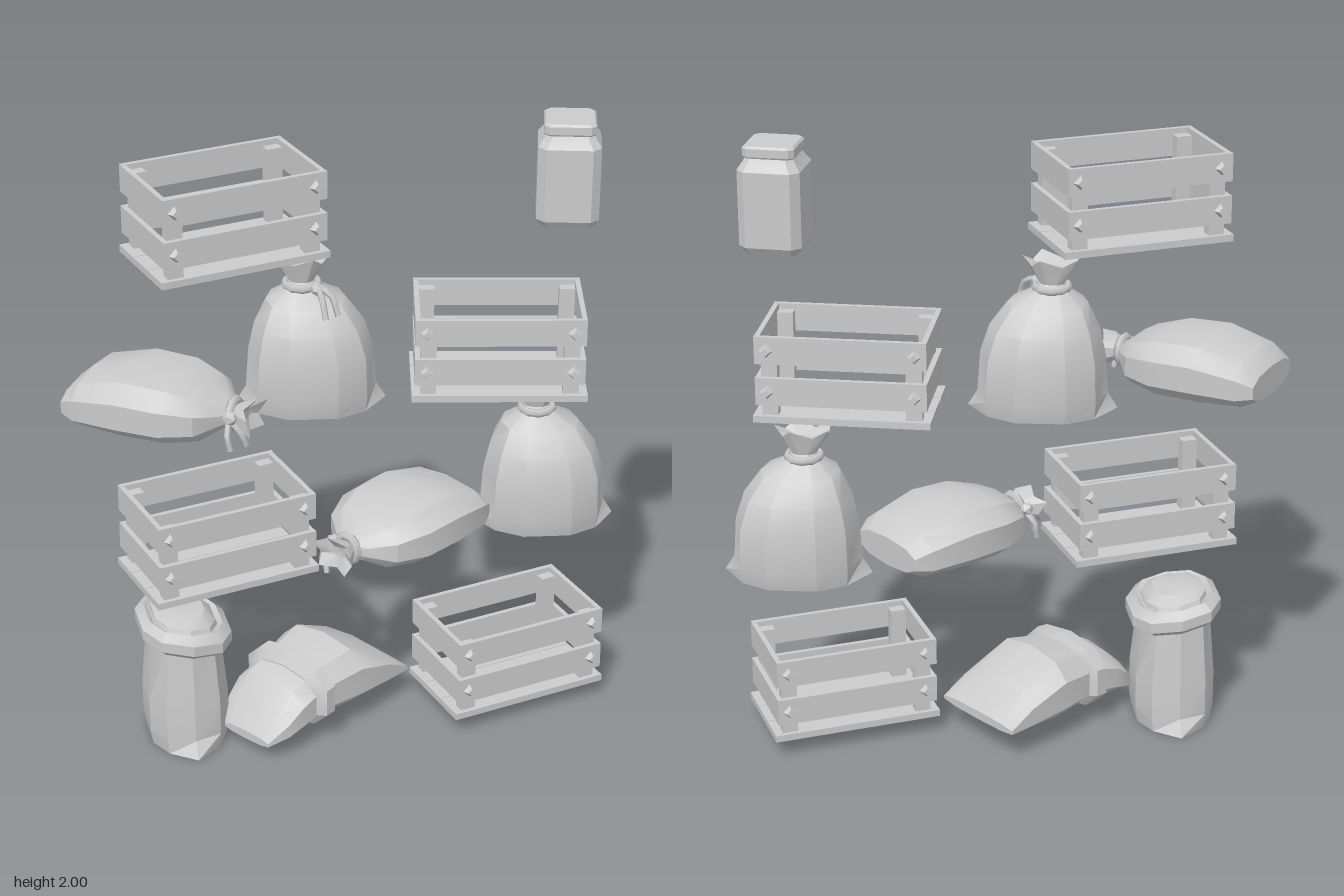
import * as THREE from 'three';
import { toCreasedNormals } from 'three/addons/utils/BufferGeometryUtils.js';

const material = new THREE.MeshStandardMaterial({ color: 0xcccccc, side: THREE.DoubleSide });
const SIDES = 10;

function add(parent, name, geometry, x = 0, y = 0, z = 0) {
  const mesh = new THREE.Mesh(geometry, material);
  mesh.name = name;
  mesh.position.set(x, y, z);
  parent.add(mesh);
  return mesh;
}

function place(root, part, name, x, y, z, turn) {
  part.name = name;
  part.position.set(x, y, z);
  part.rotation.y = turn;
  root.add(part);
}

// Closed skin over a list of equal-length rings of [x, y, z] points
function loft(rings, crease = 0.5) {
  const n = rings[0].length, pos = rings.flat(2), index = [];
  for (let j = 0; j < rings.length - 1; j++) {
    for (let i = 0; i < n; i++) {
      const a = j * n + i, b = j * n + (i + 1) % n;
      index.push(a, b, b + n, a, b + n, a + n);
    }
  }
  for (const last of [false, true]) {
    const ring = last ? rings[rings.length - 1] : rings[0];
    const start = last ? (rings.length - 1) * n : 0, c = pos.length / 3;
    for (let k = 0; k < 3; k++) pos.push(ring.reduce((s, p) => s + p[k], 0) / n);
    for (let i = 0; i < n; i++) {
      const a = start + i, b = start + (i + 1) % n;
      if (last) index.push(c, a, b); else index.push(c, b, a);
    }
  }
  const g = new THREE.BufferGeometry();
  g.setAttribute('position', new THREE.Float32BufferAttribute(pos, 3));
  g.setIndex(index);
  return toCreasedNormals(g, crease);
}

// Slightly squared unit outline
const bulge = (v) => Math.sign(v) * Math.pow(Math.abs(v), 0.8);
function outline(fn) {
  return Array.from({ length: SIDES }, (_, i) => {
    const a = (i / SIDES) * Math.PI * 2;
    return fn(bulge(Math.sin(a)), bulge(Math.cos(a)), i);
  });
}

// Horizontal ring: ear stretches the two seam corners, ruffle makes a zigzag, tilt slopes it along x
const upright = ({ y, rx, rz, cz = 0, ear = 1, ruffle = 0, tilt = 0 }) => outline((s, c, i) => {
  const k = 1 - (i % 2) * ruffle * 8;
  return [s * rx * k, y - (i % 2) * ruffle - s * rx * tilt, cz + c * rz * k * (i % 5 ? 1 : ear)];
});

// Vertical ring across x: half width, low and high edges
const lying = ([x, w, lo, hi, ruffle = 0]) => outline((s, c, i) => {
  const k = 1 - (i % 2) * ruffle * 8;
  return [x - (i % 2) * ruffle, (lo + hi) / 2 + c * k * (hi - lo) / 2, s * w * k];
});

function tail(parent, points) {
  const curve = new THREE.CatmullRomCurve3(points.map((p) => new THREE.Vector3(...p)));
  add(parent, 'ropeEnd', new THREE.TubeGeometry(curve, 4, 0.01, 5));
}

function crate() {
  const g = new THREE.Group(), L = 0.53, W = 0.33, T = 0.016;
  // Floor planks
  for (let i = -1; i <= 1; i++) {
    add(g, 'floorPlank', new THREE.BoxGeometry(L + 0.02, 0.022, W / 3 - 0.003), 0, 0.011, i * W / 3);
  }
  // Corner posts
  for (const x of [-1, 1]) for (const z of [-1, 1]) {
    add(g, 'cornerPost', new THREE.BoxGeometry(0.05, 0.24, 0.035),
      x * (L / 2 - T - 0.026), 0.142, z * (W / 2 - T - 0.018));
  }
  // Slats with diamond bolts on the long sides
  for (const y of [0.103, 0.236]) for (const s of [-1, 1]) {
    add(g, 'longSlat', new THREE.BoxGeometry(L, 0.088, T), 0, y, s * (W / 2 - T / 2));
    add(g, 'endSlat', new THREE.BoxGeometry(T, 0.086, W - 2 * T), s * (L / 2 - T / 2), y, 0);
    for (const x of [-0.228, 0.228]) {
      const head = new THREE.CylinderGeometry(0.013, 0.023, 0.018, 4).toNonIndexed();
      head.computeVertexNormals();
      add(g, 'bolt', head, x, y, s * (W / 2 + 0.008)).rotation.x = s * Math.PI / 2;
    }
  }
  return g;
}

function tiedSack(withTails) {
  const g = new THREE.Group();
  add(g, 'sackBody', loft([
    { y: 0, rx: 0.16, rz: 0.195, ear: 1.2 },
    { y: 0.05, rx: 0.172, rz: 0.2, ear: 1.02 },
    { y: 0.18, rx: 0.168, rz: 0.195 },
    { y: 0.27, rx: 0.15, rz: 0.17, cz: -0.005 },
    { y: 0.345, rx: 0.105, rz: 0.125, cz: -0.015 },
    { y: 0.385, rx: 0.05, rz: 0.06, cz: -0.025 },
    { y: 0.41, rx: 0.038, rz: 0.04, cz: -0.028 },
    { y: 0.495, rx: 0.065, rz: 0.095, cz: -0.03, ruffle: 0.025 },
    { y: 0.455, rx: 0.02, rz: 0.03, cz: -0.03 },
  ].map(upright)));
  const rope = add(g, 'neckRope', new THREE.TorusGeometry(0.052, 0.014, 5, 10), 0, 0.395, -0.027);
  rope.rotation.x = Math.PI / 2;
  if (withTails) {
    add(g, 'knot', new THREE.IcosahedronGeometry(0.022, 0), -0.055, 0.395, 0.02);
    tail(g, [[-0.05, 0.4, 0.02], [-0.08, 0.385, 0.06], [-0.1, 0.325, 0.08]]);
    tail(g, [[-0.05, 0.4, 0.02], [-0.1, 0.385, 0.03], [-0.13, 0.325, 0.04]]);
  }
  return g;
}

function lyingTiedSack() {
  const g = new THREE.Group();
  add(g, 'sackBody', loft([
    [0, 0.15, 0.035, 0.13], [0.05, 0.178, 0.008, 0.175], [0.2, 0.2, 0, 0.212],
    [0.34, 0.195, 0, 0.205], [0.44, 0.15, 0.015, 0.175], [0.495, 0.07, 0.05, 0.13],
    [0.52, 0.033, 0.065, 0.12], [0.59, 0.085, 0.03, 0.15, 0.025], [0.555, 0.025, 0.075, 0.11],
  ].map(lying)));
  const rope = add(g, 'neckRope', new THREE.TorusGeometry(0.042, 0.015, 5, 10), 0.515, 0.092, 0);
  rope.rotation.y = Math.PI / 2;
  add(g, 'knot', new THREE.IcosahedronGeometry(0.024, 0), 0.525, 0.1, 0.055);
  tail(g, [[0.52, 0.09, 0.05], [0.53, 0.06, 0.09], [0.54, 0.01, 0.09]]);
  tail(g, [[0.52, 0.09, 0.05], [0.56, 0.05, 0.05], [0.57, 0.01, 0.04]]);
  return g;
}

function openSack() {
  const g = new THREE.Group(), tilt = 0.16;
  // Body, rolled rim and heaped filling
  add(g, 'sackBody', loft([
    { y: 0, rx: 0.125, rz: 0.165, ear: 1.22 }, { y: 0.05, rx: 0.134, rz: 0.165 },
    { y: 0.17, rx: 0.134, rz: 0.16 }, { y: 0.37, rx: 0.115, rz: 0.15, tilt },
  ].map(upright)));
  add(g, 'rolledRim', loft([
    { y: 0.355, rx: 0.125, rz: 0.155, tilt }, { y: 0.375, rx: 0.15, rz: 0.178, tilt },
    { y: 0.41, rx: 0.15, rz: 0.178, tilt }, { y: 0.435, rx: 0.122, rz: 0.15, tilt },
    { y: 0.425, rx: 0.108, rz: 0.135, tilt },
  ].map(upright)));
  add(g, 'filling', loft([
    { y: 0.41, rx: 0.11, rz: 0.138, tilt }, { y: 0.44, rx: 0.1, rz: 0.125, tilt },
    { y: 0.46, rx: 0.068, rz: 0.085, tilt: 0.08 },
  ].map(upright)));
  return g;
}

function lyingOpenSack() {
  const g = new THREE.Group();
  add(g, 'sackBody', loft([
    [0, 0.175, 0.045, 0.075], [0.09, 0.175, 0.012, 0.16], [0.23, 0.18, 0, 0.235],
    [0.38, 0.15, 0.01, 0.205],
  ].map(lying)));
  add(g, 'rolledRim', loft([
    [0.35, 0.155, 0.005, 0.21], [0.365, 0.18, -0.003, 0.235], [0.405, 0.18, -0.003, 0.23],
    [0.425, 0.145, 0.008, 0.2],
  ].map(lying)));
  add(g, 'spilledFilling', loft([
    [0.41, 0.15, 0.005, 0.2], [0.48, 0.15, 0, 0.175], [0.54, 0.14, 0, 0.115], [0.6, 0.1, 0, 0.03],
  ].map(lying)));
  return g;
}

// Square outline with cut corners
function chamfered(h, cut, y) {
  const k = h - cut;
  return [[-k, h], [k, h], [h, k], [h, -k], [k, -h], [-k, -h], [-h, -k], [-h, k]].map(([x, z]) => [x, y, z]);
}

function jar() {
  const g = new THREE.Group();
  add(g, 'jarBody', loft([
    [0.08, 0.02, 0], [0.097, 0.026, 0.025], [0.097, 0.026, 0.26], [0.08, 0.022, 0.285], [0.07, 0.018, 0.305],
  ].map(([h, c, y]) => chamfered(h, c, y)), 0.3));
  add(g, 'lid', loft([
    [0.077, 0.016, 0.298], [0.08, 0.016, 0.303], [0.08, 0.016, 0.328], [0.074, 0.016, 0.335],
  ].map(([h, c, y]) => chamfered(h, c, y)), 0.3));
  return g;
}

export function createModel() {
  const root = new THREE.Group();
  root.name = 'storageSet';
  // Top tier
  place(root, crate(), 'topCrate', -0.385, 1.66, 0, 0.21);
  place(root, jar(), 'jar', 0.7, 1.665, 0, -0.31);
  // Upper tier
  place(root, lyingTiedSack(), 'upperLyingSack', -0.82, 1.125, -0.12, -0.63);
  place(root, tiedSack(true), 'upperTiedSack', -0.11, 1.125, -0.04, 1.38);
  place(root, crate(), 'upperCrate', 0.487, 1.135, 0, -0.25);
  // Middle tier
  place(root, crate(), 'middleCrate', -0.44, 0.615, 0.06, 0.21);
  place(root, lyingTiedSack(), 'middleLyingSack', 0.39, 0.6, -0.1, Math.PI + 0.56);
  place(root, tiedSack(false), 'middleTiedSack', 0.665, 0.605, -0.04, 1.38);
  // Bottom tier
  place(root, openSack(), 'openSack', -0.55, 0, 0.01, 0);
  place(root, lyingOpenSack(), 'lyingOpenSack', 0.11, 0.045, -0.14, Math.PI + 0.59);
  place(root, crate(), 'bottomCrate', 0.525, 0.058, 0.06, 0.21);
  return root;
}
